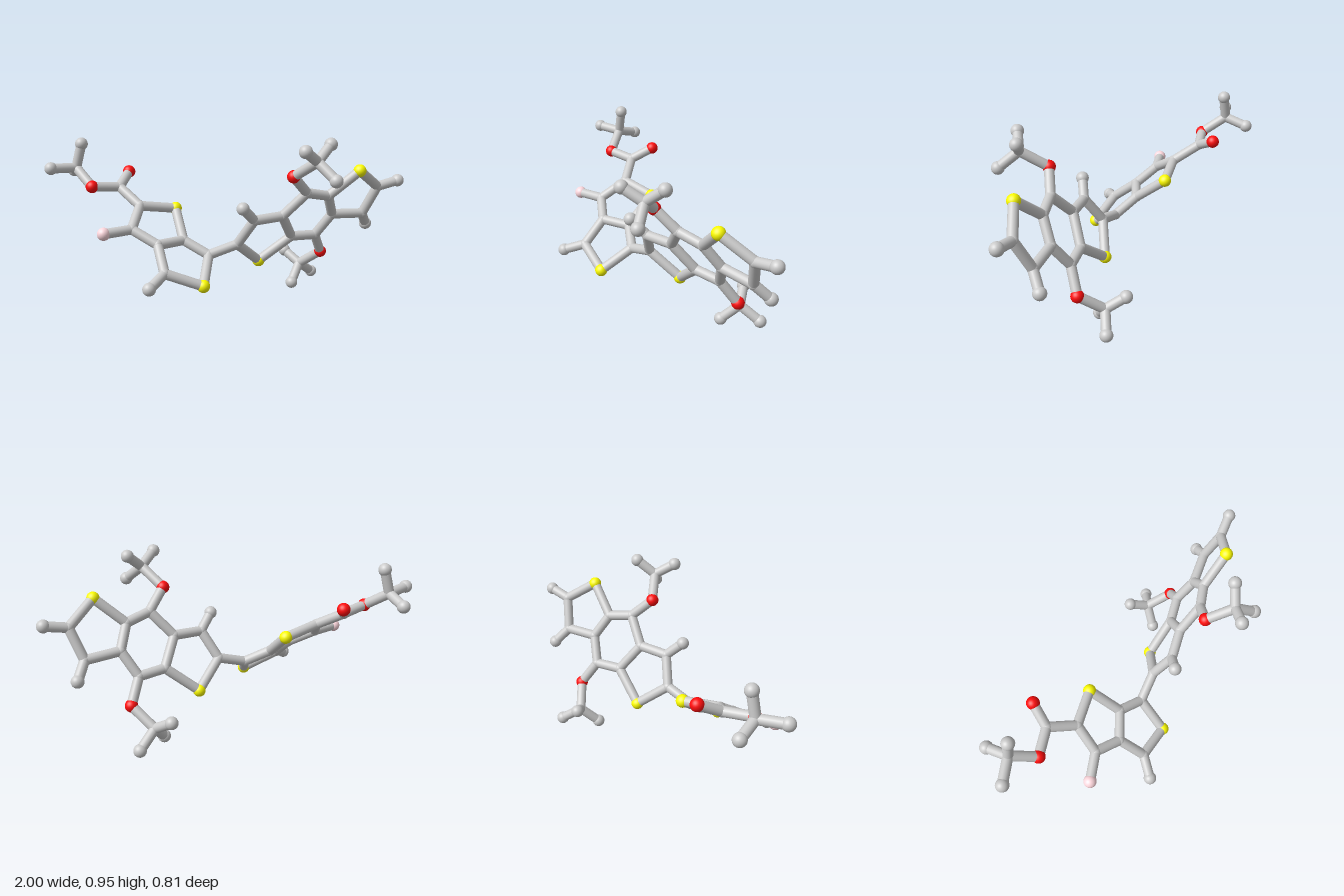
import * as THREE from 'three';

const BALL = 0.035, JOINT = 0.029, STICK = 0.027;

// position of every node, by kind
const joints = {
  // right-hand fused three-ring plate
  a: [0.843, 0.64, -0.075], b: [0.775, 0.475, -0.125], c: [0.588, 0.487, -0.068],
  d: [0.545, 0.61, 0.018], e: [0.415, 0.642, 0.083], f: [0.289, 0.508, 0.047],
  g: [0.358, 0.364, -0.06], h: [0.503, 0.355, -0.117], i: [0.13, 0.5, 0.105], j: [0.043, 0.353, 0.045],
  // small three-armed side groups
  k: [0.43, 0.842, 0.272], l: [0.447, 0.13, -0.29],
  // left-hand fused two-ring plate
  m: [-0.115, 0.305, 0.077], n: [-0.352, 0.267, 0.268], o: [-0.387, 0.383, 0.132],
  p: [-0.25, 0.378, 0.03], q: [-0.485, 0.553, -0.064], r: [-0.525, 0.457, 0.08],
  // tail
  s: [-0.6, 0.64, -0.163], t: [-0.838, 0.747, -0.194],
};
const greyBalls = {
  a1: [0.965, 0.667, -0.104], b1: [0.818, 0.394, -0.203], i1: [0.063, 0.581, 0.17],
  k1: [0.353, 0.907, 0.354], k2: [0.509, 0.921, 0.206], k3: [0.512, 0.757, 0.348],
  l1: [0.39, 0.037, -0.208], l2: [0.534, 0.053, -0.366], l3: [0.368, 0.191, -0.363],
  n1: [-0.429, 0.22, 0.369],
  t1: [-0.803, 0.88, -0.194], t2: [-0.965, 0.756, -0.121], t3: [-0.867, 0.711, -0.318],
};
const yellowBalls = {
  S1: [0.709, 0.751, 0.04], S2: [0.175, 0.221, -0.074],
  S3: [-0.151, 0.189, 0.255], S4: [-0.29, 0.519, -0.138],
};
const redBalls = {
  O1: [0.327, 0.748, 0.167], O2: [0.555, 0.229, -0.2],
  O3: [-0.552, 0.706, -0.28], O4: [-0.744, 0.657, -0.094],
};
const pinkBalls = { F1: [-0.667, 0.454, 0.153] };

// each chain is a run of nodes joined by sticks
const chains = [
  'S1 a b c d S1', 'd e f g h c', 'f i j S2 g', 'a a1', 'b b1', 'i i1',
  'e O1 k k1', 'k k2', 'k k3', 'h O2 l l1', 'l l2', 'l l3',
  'j m S3 n o p m', 'p S4 q r o', 'n n1', 'r F1', 'q s O3', 's O4 t t1', 't t2', 't t3',
];

export function createModel() {
  const group = new THREE.Group();
  const grey = new THREE.MeshStandardMaterial({ color: 0xcccccc });
  const ballGeo = new THREE.SphereGeometry(BALL, 24, 16);
  const jointGeo = new THREE.SphereGeometry(JOINT, 24, 16);
  const stickGeo = new THREE.CylinderGeometry(STICK, STICK, 1, 20);
  const nodes = {};

  // balls and joints
  const addNodes = (set, name, geo, material) => {
    for (const [key, pos] of Object.entries(set)) {
      const ball = new THREE.Mesh(geo, material);
      ball.name = name;
      ball.position.set(...pos);
      nodes[key] = ball.position;
      group.add(ball);
    }
  };
  addNodes(joints, 'joint', jointGeo, grey);
  addNodes(greyBalls, 'endBall', ballGeo, grey);
  addNodes(yellowBalls, 'yellowBall', ballGeo, new THREE.MeshStandardMaterial({ color: 0xffff00 }));
  addNodes(redBalls, 'redBall', ballGeo, new THREE.MeshStandardMaterial({ color: 0xff0d0d }));
  addNodes(pinkBalls, 'pinkBall', ballGeo, new THREE.MeshStandardMaterial({ color: 0xffd9df }));

  // connecting sticks
  const up = new THREE.Vector3(0, 1, 0);
  for (const chain of chains) {
    const run = chain.split(' ').map((key) => nodes[key]);
    for (let n = 1; n < run.length; n++) {
      const dir = run[n].clone().sub(run[n - 1]);
      const stick = new THREE.Mesh(stickGeo, grey);
      stick.name = 'stick';
      stick.position.copy(run[n]).add(run[n - 1]).multiplyScalar(0.5);
      stick.scale.y = dir.length();
      stick.quaternion.setFromUnitVectors(up, dir.normalize());
      group.add(stick);
    }
  }
  return group;
}
